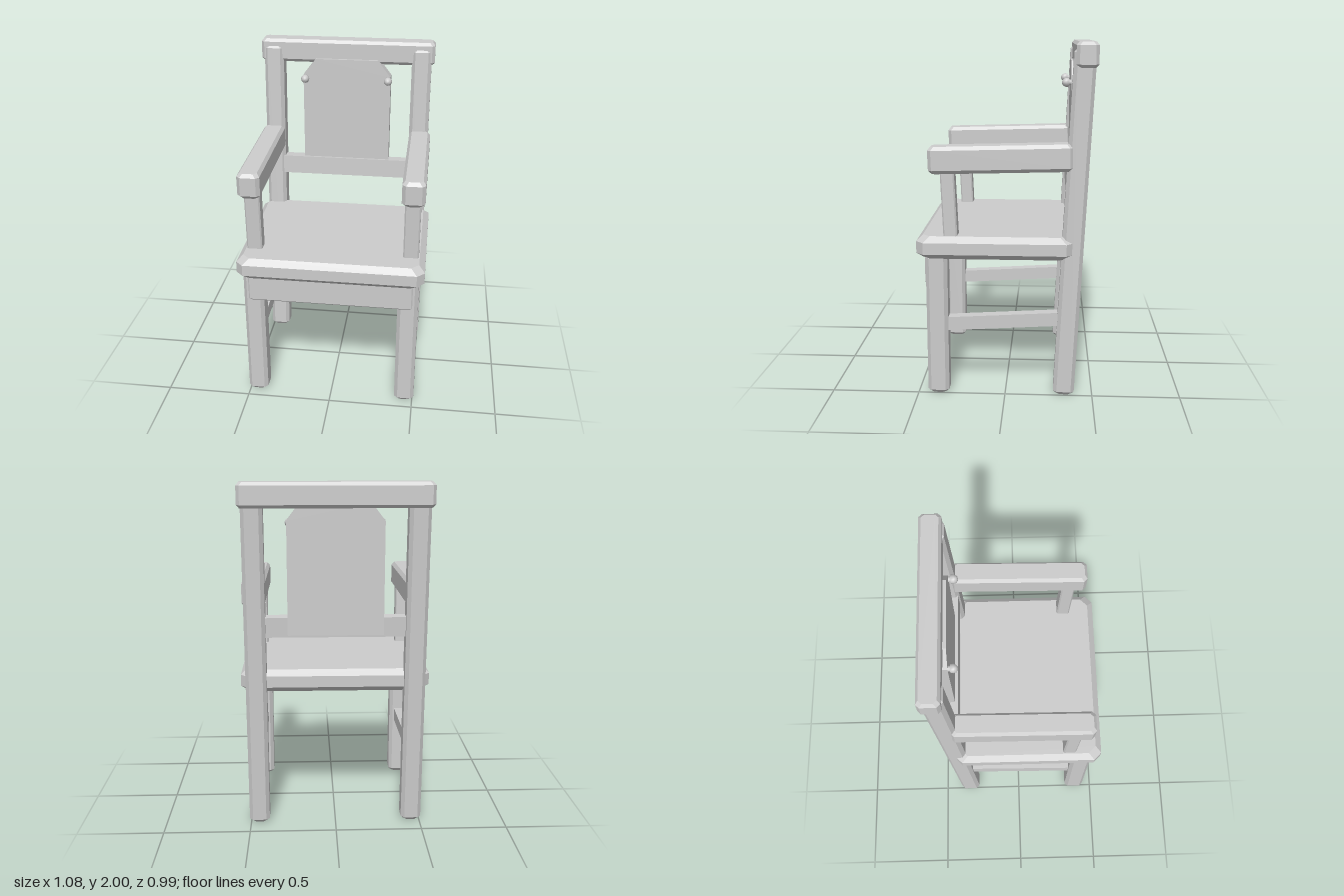
import * as THREE from 'three';
import { ConvexGeometry } from 'three/addons/geometries/ConvexGeometry.js';

const wood = new THREE.MeshStandardMaterial({ color: 0xcccccc });
wood.name = 'paleGrey';

// Box with every edge bevelled: octagon rings, inset at both ends
function bevelBox(w, h, d, c, cy = c) {
  const points = [];
  const ring = (y, inset) => {
    const x = w / 2 - inset, z = d / 2 - inset;
    for (const sx of [-1, 1]) for (const sz of [-1, 1]) {
      points.push(new THREE.Vector3(sx * x, y, sz * (z - c)));
      points.push(new THREE.Vector3(sx * (x - c), y, sz * z));
    }
  };
  ring(-h / 2, c * 0.8);
  ring(-h / 2 + cy, 0);
  ring(h / 2 - cy, 0);
  ring(h / 2, c * 0.8);
  return new ConvexGeometry(points);
}

export function createModel() {
  const chair = new THREE.Group();
  chair.name = 'armchair';

  const add = (name, geometry, x, y, z, tilt = 0) => {
    const mesh = new THREE.Mesh(geometry, wood);
    mesh.name = name;
    mesh.position.set(x, y, z);
    mesh.rotation.x = tilt;
    chair.add(mesh);
    return mesh;
  };

  // Seat and the apron below its front edge
  add('seat', bevelBox(1.08, 0.13, 0.88, 0.043, 0.032), 0, 0.877, 0.055);
  add('frontApron', bevelBox(0.955, 0.16, 0.05, 0.007), 0, 0.74, 0.427);

  // Back: top rail, lower rail and panel with clipped upper corners
  add('topRail', bevelBox(1.055, 0.137, 0.12, 0.018), 0, 1.9315, -0.438);
  add('lowerBackRail', new THREE.BoxGeometry(0.84, 0.113, 0.07), 0, 1.202, -0.376, -0.048);

  const outline = new THREE.Shape([
    [-0.267, 1.16], [0.267, 1.16], [0.267, 1.79], [0.19, 1.89], [-0.19, 1.89], [-0.267, 1.79],
  ].map(([x, y]) => new THREE.Vector2(x, y)));
  add('backPanel', new THREE.ExtrudeGeometry(outline, { depth: 0.07, bevelEnabled: false }), 0, 0, -0.43);

  // Round-ended peg profile (radius, length)
  const pegProfile = [
    [0.015, -0.01], [0.015, 0.012], [0.024, 0.014], [0.025, 0.03], [0.02, 0.043], [0.011, 0.051], [0, 0.053],
  ].map(([r, y]) => new THREE.Vector2(r, y));

  for (const [side, s] of [['left', 1], ['right', -1]]) {
    add(side + 'FrontLeg', bevelBox(0.118, 0.83, 0.122, 0.02), s * 0.45, 0.42, 0.384);
    add(side + 'BackLeg', bevelBox(0.118, 1.957, 0.12, 0.02), s * 0.45, 0.985, -0.382, -0.048);
    add(side + 'Stretcher', new THREE.BoxGeometry(0.06, 0.078, 0.68), s * 0.45, 0.439, 0.015, 0.06);
    add(side + 'ArmPost', bevelBox(0.09, 0.45, 0.078, 0.008), s * 0.455, 1.12, 0.31, 0.04);
    add(side + 'Arm', bevelBox(0.13, 0.15, 0.795, 0.02), s * 0.458, 1.375, 0.023, 0.026);
    add(side + 'Peg', new THREE.LatheGeometry(pegProfile, 12), s * 0.253, 1.773, -0.36, Math.PI / 2);
  }

  return chair;
}
